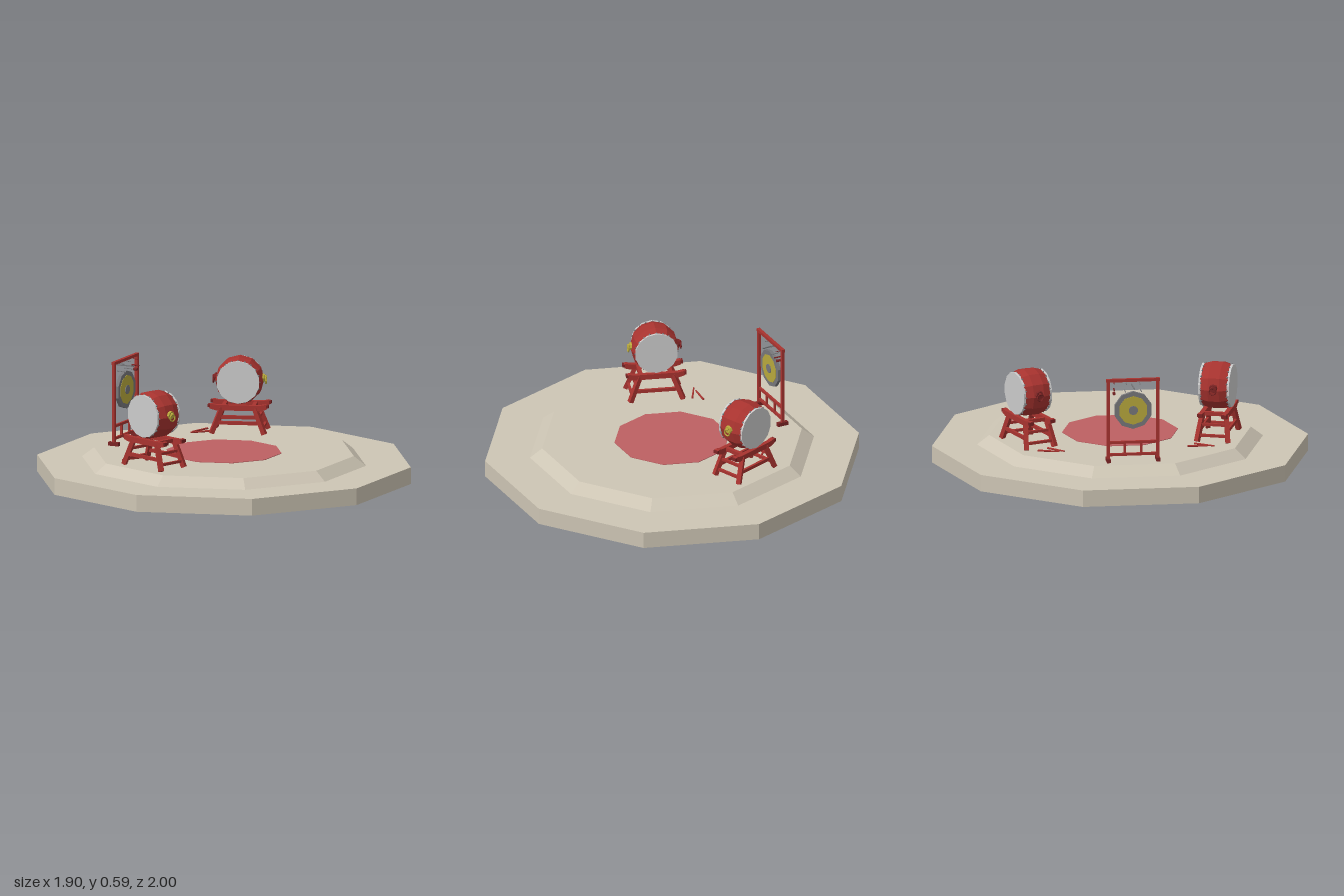
import * as THREE from 'three';

const mat = (color) => new THREE.MeshStandardMaterial({ color, flatShading: true });
const STONE = mat(0xcdc5b4), CARPET = mat(0xbd6062), RED = mat(0xa8332f), DARK = mat(0x7c2424);
const GREY = mat(0xcccccc), IRON = mat(0x77777a), BRASS = mat(0xb8a83c);

const FLOOR = 0.14;
const V = (x, y, z) => new THREE.Vector3(x, y, z);

function add(parent, name, geometry, material, x = 0, y = 0, z = 0) {
  const mesh = new THREE.Mesh(geometry, material);
  mesh.name = name;
  mesh.position.set(x, y, z);
  parent.add(mesh);
  return mesh;
}

// Square or round bar running from a to b
function bar(parent, name, a, b, w, material = RED, h = w) {
  const mesh = add(parent, name, new THREE.BoxGeometry(w, h, a.distanceTo(b)), material);
  mesh.position.copy(a).add(b).multiplyScalar(0.5);
  mesh.lookAt(b);
  return mesh;
}
function rod(parent, name, a, b, r0, r1, material) {
  const geometry = new THREE.CylinderGeometry(r1, r0, a.distanceTo(b), 6).rotateX(Math.PI / 2);
  const mesh = add(parent, name, geometry, material);
  mesh.position.copy(a).add(b).multiplyScalar(0.5);
  mesh.lookAt(b);
  return mesh;
}

// Side beam of the drum stand, with upturned ends
function beamGeometry() {
  const pts = [[-0.16, 0.012], [-0.15, -0.008], [-0.12, -0.017], [0.12, -0.017], [0.15, -0.008], [0.16, 0.012],
    [0.145, 0.018], [0.115, 0.012], [-0.115, 0.012], [-0.145, 0.018]];
  const shape = new THREE.Shape(pts.map(([x, y]) => new THREE.Vector2(x, y)));
  return new THREE.ExtrudeGeometry(shape, { depth: 0.024, bevelEnabled: false }).translate(0, 0, -0.012);
}

function drumStand() {
  const g = new THREE.Group();
  g.name = 'drumStand';
  const top = V(0.088, 0.28, 0.064), foot = V(0.142, FLOOR, 0.084);
  const legPoint = (y, sx, sz) => {
    const p = top.clone().lerp(foot, (top.y - y) / (top.y - foot.y));
    return V(p.x * sx, y, p.z * sz);
  };
  for (const s of [-1, 1]) {
    add(g, 'sideBeam', beamGeometry(), RED, 0, 0.283, s * 0.064);
    bar(g, 'sideRail', legPoint(0.2, -1, s), legPoint(0.2, 1, s), 0.014, RED, 0.018);
    for (const t of [-1, 1]) {
      bar(g, 'leg', legPoint(0.28, s, t), legPoint(FLOOR + 0.003, s, t), 0.024);
      add(g, 'beamCap', new THREE.BoxGeometry(0.012, 0.016, 0.028), DARK, s * 0.155, 0.29, t * 0.064);
    }
    // Rungs across each end
    for (const y of [0.175, 0.23]) bar(g, 'endRung', legPoint(y, s, -1), legPoint(y, s, 1), 0.014);
    bar(g, 'crossBeam', V(s * 0.08, 0.283, -0.064), V(s * 0.08, 0.283, 0.064), 0.02);
  }
  return g;
}

function drum(name, x, z, turn) {
  const g = new THREE.Group();
  g.name = name;
  g.position.set(x, 0, z);
  g.rotation.y = turn;
  g.add(drumStand());

  const body = new THREE.Group();
  body.name = 'drumBody';
  body.position.y = 0.42;
  g.add(body);
  const profile = [[0.112, -0.078], [0.127, -0.03], [0.127, 0.03], [0.112, 0.078]]
    .map(([r, y]) => new THREE.Vector2(r, y));
  add(body, 'barrel', new THREE.LatheGeometry(profile, 12).rotateX(Math.PI / 2), RED);
  for (const s of [-1, 1]) {
    add(body, 'drumSkin', new THREE.CylinderGeometry(0.115, 0.115, 0.012, 14).rotateX(Math.PI / 2), GREY, 0, 0, s * 0.077);
    // Tacks holding the skin
    for (let i = 0; i < 20; i++) {
      const a = (i / 20) * Math.PI * 2;
      add(body, 'tack', new THREE.OctahedronGeometry(0.006), IRON, Math.cos(a) * 0.114, Math.sin(a) * 0.114, s * 0.07);
    }
    // Ring handle on each flank
    const metal = s > 0 ? BRASS : DARK;
    add(body, 'handlePlate', new THREE.CylinderGeometry(0.02, 0.024, 0.012, 8).rotateZ(-s * Math.PI / 2), metal, s * 0.128, 0.012, 0);
    add(body, 'handleKnob', new THREE.IcosahedronGeometry(0.01), metal, s * 0.137, 0.018, 0);
    add(body, 'handleRing', new THREE.TorusGeometry(0.018, 0.004, 5, 10).rotateY(Math.PI / 2), metal, s * 0.14, 0, 0);
  }
  return g;
}

function gongStand() {
  const g = new THREE.Group();
  g.name = 'gongStand';
  g.position.set(-0.475, 0, -0.345);
  g.rotation.y = 0.95;
  for (const s of [-1, 1]) {
    const x = s * 0.132;
    add(g, 'post', new THREE.BoxGeometry(0.016, 0.44, 0.016), RED, x, 0.37, 0);
    add(g, 'foot', new THREE.BoxGeometry(0.02, 0.02, 0.06), DARK, x, FLOOR + 0.01, 0);
    add(g, 'railStrut', new THREE.BoxGeometry(0.012, 0.06, 0.01), RED, s * 0.045, 0.21, 0);
    // Hanging cords, dropping to a spreader and then to the gong
    rod(g, 'upperCord', V(s * 0.035, 0.58, 0), V(s * 0.035, 0.548, 0), 0.0025, 0.0025, IRON);
    rod(g, 'lowerCord', V(s * 0.035, 0.548, 0), V(s * 0.05, 0.5, 0), 0.0025, 0.0025, IRON);
  }
  add(g, 'topBeam', new THREE.BoxGeometry(0.285, 0.016, 0.018), RED, 0, 0.584, 0);
  for (const y of [0.178, 0.244]) add(g, 'lowerRail', new THREE.BoxGeometry(0.26, 0.014, 0.012), RED, 0, y, 0);
  bar(g, 'spreader', V(-0.05, 0.548, 0), V(0.05, 0.548, 0), 0.006, IRON);

  // Gong: dark rim, brass field and central boss on both faces
  const disc = (name, r, depth, material) =>
    add(g, name, new THREE.CylinderGeometry(r, r, depth, 10).rotateX(Math.PI / 2), material, 0, 0.42, 0);
  disc('gongRim', 0.102, 0.018, IRON);
  disc('gongFace', 0.078, 0.022, BRASS);
  disc('gongBoss', 0.025, 0.03, IRON);

  // Mallet hanging beside the post
  rod(g, 'malletCord', V(0.1, 0.58, 0.008), V(0.1, 0.552, 0.008), 0.002, 0.002, DARK);
  rod(g, 'malletHandle', V(0.1, 0.555, 0.008), V(0.1, 0.51, 0.008), 0.004, 0.004, DARK);
  rod(g, 'malletHead', V(0.1, 0.522, 0.008), V(0.1, 0.5, 0.008), 0.008, 0.008, DARK);
  return g;
}

export function createModel() {
  const model = new THREE.Group();
  model.name = 'drumStage';

  // Stepped ten-sided stage
  add(model, 'stageBase', new THREE.CylinderGeometry(1, 1, 0.09, 10), STONE, 0, 0.045, 0);
  add(model, 'stageStep', new THREE.CylinderGeometry(0.695, 0.76, 0.05, 10), STONE, 0, 0.115, 0);
  add(model, 'carpet', new THREE.CylinderGeometry(0.308, 0.308, 0.006, 10), CARPET, 0, FLOOR, 0);

  model.add(drum('backDrum', 0.16, -0.51, -0.27));
  model.add(drum('sideDrum', -0.42, 0.315, -0.95));
  model.add(gongStand());

  // Drumsticks lying on the floor, as x, z pairs
  const sticks = [[0, -0.59, -0.09, -0.52], [0, -0.52, -0.105, -0.495],
    [-0.47, 0.05, -0.54, 0.13], [-0.46, 0.11, -0.565, 0.155]];
  for (const [x0, z0, x1, z1] of sticks)
    rod(model, 'drumstick', V(x0, FLOOR + 0.005, z0), V(x1, FLOOR + 0.005, z1), 0.006, 0.004, RED);
  return model;
}
